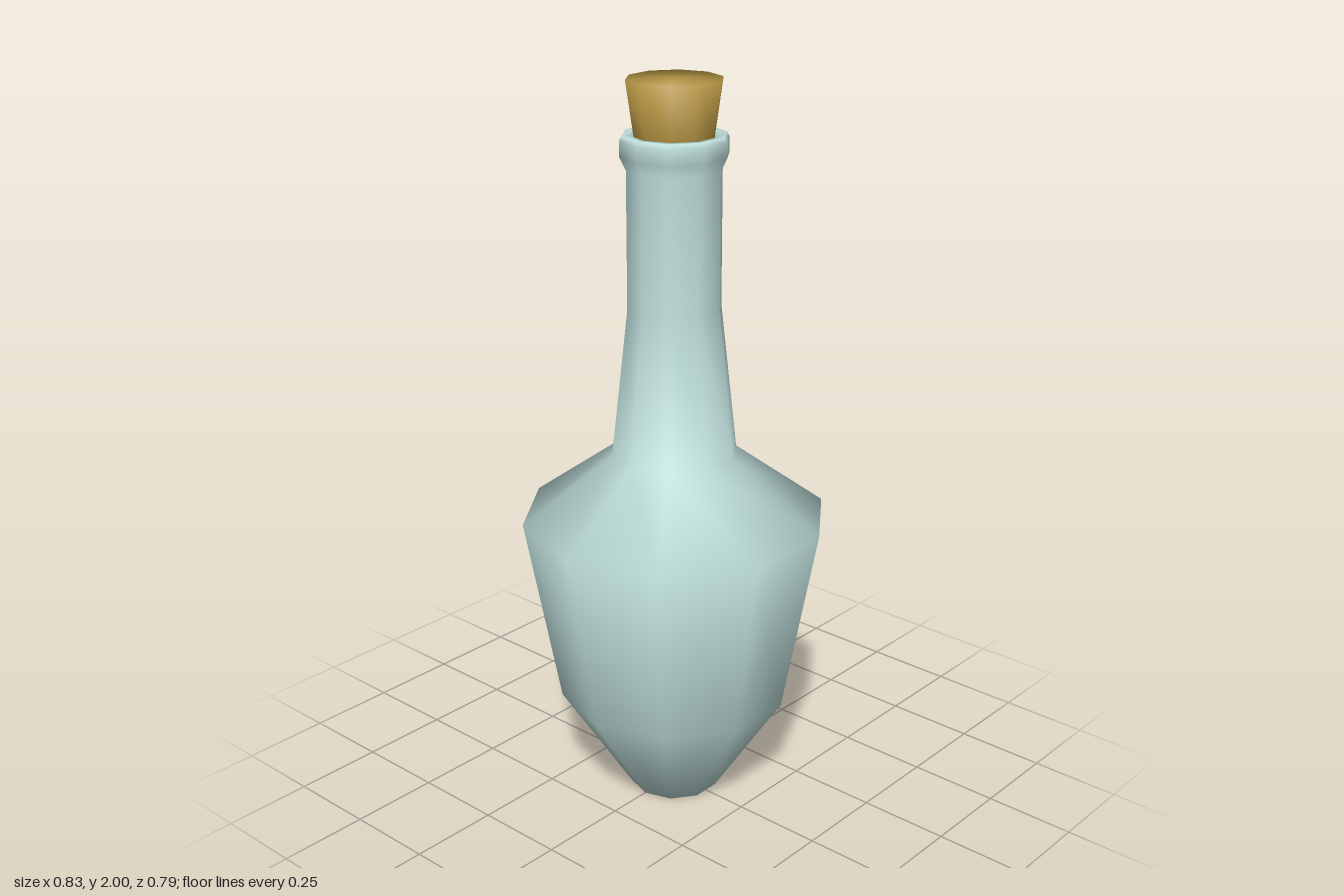
import * as THREE from 'three';

const SIDES = 10;

// Ten-sided turned part with a corner on +x
function turned(name, profile, material) {
  const points = profile.map(([r, y]) => new THREE.Vector2(r, y));
  const mesh = new THREE.Mesh(new THREE.LatheGeometry(points, SIDES, Math.PI / 2), material);
  mesh.name = name;
  return mesh;
}

export function createModel() {
  const glass = new THREE.MeshStandardMaterial({ color: 0xc0e0dd });
  glass.name = 'pale glass';
  const corkBrown = new THREE.MeshStandardMaterial({ color: 0xb39343 });
  corkBrown.name = 'cork brown';

  const group = new THREE.Group();
  group.name = 'corkedBottle';

  // Base, body, shoulder, neck, lip and a short inner wall
  group.add(turned('bottle', [
    [0, 0], [0.125, 0], [0.32, 0.305], [0.415, 0.83], [0.17, 1.01],
    [0.125, 1.41], [0.125, 1.775], [0.142, 1.81], [0.142, 1.85],
    [0.135, 1.862], [0.115, 1.862], [0.105, 1.84], [0.1, 1.75],
  ], glass));

  // Tapered stopper
  group.add(turned('cork', [
    [0, 1.76], [0.092, 1.76], [0.105, 1.86], [0.125, 2], [0, 2],
  ], corkBrown));

  return group;
}
